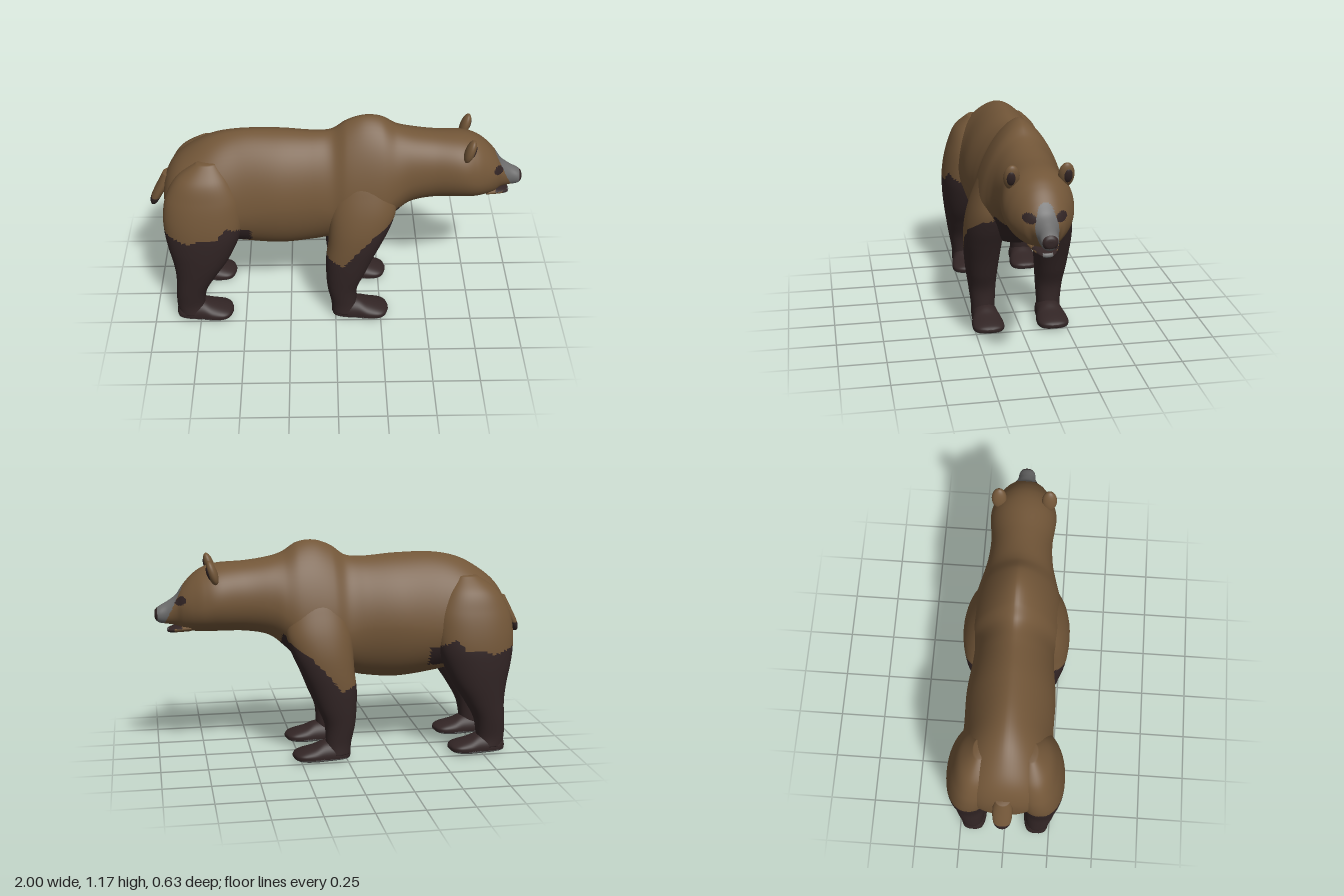
import * as THREE from 'three';

const mat = (name, color) => Object.assign(new THREE.MeshStandardMaterial({ color }), { name });

// Catmull-Rom interpolation of every column of a section table
function refine(rows, n) {
  const out = [];
  const at = (i) => rows[Math.min(Math.max(i, 0), rows.length - 1)];
  for (let i = 0; i < rows.length - 1; i++) {
    for (let k = 0; k < n; k++) {
      const t = k / n;
      out.push(rows[i].map((b, c) => {
        const a = at(i - 1)[c], d = at(i + 1)[c], e = at(i + 2)[c];
        return b + 0.5 * t * (d - a + t * (2 * a - 5 * b + 4 * d - e + t * (3 * (b - d) + e - a)));
      }));
    }
  }
  out.push(rows[rows.length - 1]);
  return out;
}

// Closed smooth loft; pick(x, y, z) gives the material index of each face
function loft(name, rows, n, sides, point, materials, pick) {
  const rings = refine(rows, n), pos = [], faces = [];
  for (const r of rings) {
    for (let j = 0; j < sides; j++) pos.push(...point(r, (j / sides) * Math.PI * 2));
  }
  const count = rings.length * sides;
  for (const start of [0, count - sides]) {
    const c = [0, 0, 0];
    for (let j = 0; j < sides * 3; j++) c[j % 3] += pos[start * 3 + j] / sides;
    pos.push(...c);
  }
  for (let j = 0; j < sides; j++) {
    const k = (j + 1) % sides, e = count - sides;
    for (let i = 0; i < rings.length - 1; i++) {
      const a = i * sides + j, b = i * sides + k;
      faces.push([a, b, a + sides], [b, b + sides, a + sides]);
    }
    faces.push([count, k, j], [count + 1, e + j, e + k]);
  }
  // turn all faces outward using the signed volume
  const v = (i) => new THREE.Vector3(pos[i * 3], pos[i * 3 + 1], pos[i * 3 + 2]);
  let volume = 0;
  const buckets = materials.map(() => []);
  for (const f of faces) {
    const [a, b, c] = f.map(v);
    volume += a.dot(b.clone().cross(c));
    const m = a.add(b).add(c).divideScalar(3);
    buckets[pick(m.x, m.y, Math.abs(m.z))].push(f);
  }
  const geo = new THREE.BufferGeometry();
  const index = [];
  buckets.forEach((list, m) => {
    geo.addGroup(index.length, list.length * 3, m);
    for (const [a, b, c] of list) index.push(...(volume < 0 ? [a, c, b] : [a, b, c]));
  });
  geo.setAttribute('position', new THREE.Float32BufferAttribute(pos, 3));
  geo.setIndex(index);
  geo.computeVertexNormals();
  const mesh = new THREE.Mesh(geo, materials);
  mesh.name = name;
  return mesh;
}

const spow = (v, p) => Math.sign(v) * Math.abs(v) ** p;

// Upright section [x, top, bottom, halfWidth, widestY, roundness]
const upright = (cz = 0, lower = 1) => ([x, top, bottom, w, yw, p], a) => {
  const s = Math.sin(a), q = s > 0 ? p : lower;
  const y = s > 0 ? yw + (top - yw) * spow(s, q) : yw + (yw - bottom) * spow(s, q);
  return [x, y, cz + w * spow(Math.cos(a), q)];
};

// Level section [y, back, front, inner, outer] on one side of the body
const level = (side) => ([y, xb, xf, zi, zo], a) => [
  (xb + xf) / 2 + ((xf - xb) / 2) * spow(Math.cos(a), 0.92), y,
  side * ((zi + zo) / 2 + ((zo - zi) / 2) * spow(Math.sin(a), 0.92))];

// Height of a colour border from a few [x, y] points
function border(points, x) {
  let i = 1;
  while (i < points.length - 1 && x > points[i][0]) i++;
  const [x0, y0] = points[i - 1], [x1, y1] = points[i];
  return y0 + (y1 - y0) * THREE.MathUtils.clamp((x - x0) / (x1 - x0), 0, 1);
}
const FRONT = [[-0.04, 0.43], [0.04, 0.4], [0.1, 0.48], [0.2, 0.59], [0.33, 0.68]];
const HIND = [[-0.91, 0.61], [-0.78, 0.575], [-0.72, 0.6], [-0.63, 0.6], [-0.58, 0.66], [-0.49, 0.61]];
const darkFront = (x, y, z) => y < (z < 0.16 ? Math.min(0.7, 0.61 + 0.6 * z) : border(FRONT, x));
const darkHind = (x, y) => y < border(HIND, x);

const BODY = [
  [-0.92, 0.72, 0.66, 0.03, 0.69, 1], [-0.905, 0.82, 0.58, 0.12, 0.7, 1],
  [-0.86, 0.91, 0.53, 0.19, 0.7, 1], [-0.78, 0.985, 0.5, 0.235, 0.7, 1.05],
  [-0.65, 1.06, 0.47, 0.25, 0.7, 1.12], [-0.5, 1.093, 0.435, 0.235, 0.7, 1.15],
  [-0.3, 1.093, 0.41, 0.235, 0.72, 1.15], [-0.12, 1.08, 0.425, 0.215, 0.72, 1.15],
  [-0.02, 1.09, 0.45, 0.215, 0.7, 1.2], [0.06, 1.145, 0.465, 0.235, 0.7, 1.25],
  [0.15, 1.175, 0.48, 0.24, 0.7, 1.25], [0.24, 1.165, 0.53, 0.23, 0.73, 1.2],
  [0.32, 1.115, 0.61, 0.2, 0.8, 1.1], [0.4, 1.09, 0.67, 0.175, 0.85, 1],
  [0.52, 1.073, 0.695, 0.165, 0.87, 1], [0.66, 1.065, 0.7, 0.178, 0.87, 1],
  [0.74, 1.045, 0.7, 0.165, 0.85, 1], [0.8, 1.005, 0.705, 0.138, 0.84, 1],
  [0.85, 0.95, 0.715, 0.105, 0.84, 1], [0.885, 0.9, 0.735, 0.072, 0.83, 1],
  [0.93, 0.868, 0.745, 0.05, 0.81, 1], [0.975, 0.842, 0.753, 0.043, 0.8, 1],
  [0.995, 0.825, 0.77, 0.03, 0.8, 1], [1.0, 0.81, 0.785, 0.012, 0.797, 1]];

const JAW = [
  [0.81, 0.76, 0.705, 0.08, 0.73, 1], [0.87, 0.742, 0.7, 0.062, 0.722, 1],
  [0.91, 0.731, 0.698, 0.045, 0.716, 1], [0.93, 0.725, 0.701, 0.03, 0.713, 1],
  [0.937, 0.716, 0.707, 0.01, 0.712, 1]];

const FRONT_LEG = [
  [0.04, -0.02, 0.12, 0.12, 0.25], [0.1, -0.025, 0.115, 0.118, 0.25],
  [0.2, -0.045, 0.12, 0.112, 0.262], [0.3, -0.052, 0.16, 0.105, 0.277],
  [0.4, -0.052, 0.2, 0.095, 0.288], [0.5, -0.04, 0.245, 0.085, 0.294],
  [0.6, -0.035, 0.29, 0.07, 0.29], [0.7, -0.03, 0.32, 0.06, 0.27],
  [0.8, -0.01, 0.31, 0.06, 0.235], [0.9, 0.03, 0.27, 0.07, 0.19], [0.97, 0.1, 0.2, 0.1, 0.13]];

const HIND_LEG = [
  [0.04, -0.87, -0.72, 0.12, 0.25], [0.1, -0.88, -0.725, 0.117, 0.25],
  [0.2, -0.875, -0.705, 0.112, 0.268], [0.3, -0.87, -0.65, 0.105, 0.285],
  [0.4, -0.88, -0.585, 0.09, 0.3], [0.5, -0.9, -0.535, 0.07, 0.31],
  [0.6, -0.912, -0.5, 0.06, 0.312], [0.7, -0.912, -0.49, 0.05, 0.3],
  [0.8, -0.89, -0.5, 0.05, 0.275], [0.9, -0.83, -0.55, 0.06, 0.235], [0.98, -0.72, -0.62, 0.1, 0.16]];

// Paw sections measured from the heel
const PAW = [
  [0, 0.05, 0.03, 0.02], [0.015, 0.09, 0.012, 0.05], [0.06, 0.11, 0.006, 0.068],
  [0.14, 0.11, 0.002, 0.075], [0.2, 0.085, 0.002, 0.085], [0.26, 0.068, 0.006, 0.083],
  [0.295, 0.055, 0.014, 0.06], [0.312, 0.042, 0.027, 0.015]];

// Tail sections [x, y, radiusX, radiusZ]
const TAIL = [
  [-0.88, 0.84, 0.04, 0.04], [-0.915, 0.78, 0.035, 0.05], [-0.95, 0.72, 0.03, 0.05],
  [-0.972, 0.675, 0.026, 0.042], [-0.982, 0.645, 0.016, 0.025], [-0.985, 0.635, 0.003, 0.005]];

export function createModel() {
  const group = new THREE.Group();
  group.name = 'bear';
  const brown = mat('brown fur', 0x725638);
  const dark = mat('dark fur', 0x322525);
  const grey = mat('grey skin', 0x6c6c6c);
  const all = [brown, dark, grey];

  // Torso, neck and head with eyes, muzzle and nose
  group.add(loft('body', BODY, 10, 72, upright(), all, (x, y, z) => {
    if (x > 0.82) {
      if (Math.hypot((y - 0.88) / 0.024, (z - 0.079) / 0.03) < 1) return 1;
      if (x > 0.986 && y > 0.77) return 1;
      return x > 0.88 + (0.89 - y) * 0.5 ? 2 : 0;
    }
    if (x > 0 && x < 0.34) return darkFront(x, y, z) ? 1 : 0;
    if (x < -0.6) return darkHind(x, y) ? 1 : 0;
    return x < -0.455 && y > 0.5 && y < 0.61 ? 1 : 0;
  }));

  // Lower jaw with dark lips and grey chin
  group.add(loft('lowerJaw', JAW, 8, 40, upright(), all, (x, y, z) => {
    if (x > 0.86 && y > 0.724) return 1;
    if (x > 0.9) return z > 0.025 ? 1 : 2;
    return 0;
  }));

  // Tail
  group.add(loft('tail', TAIL, 6, 24, ([x, y, rx, rz], a) => [x + rx * Math.cos(a), y, rz * Math.sin(a)],
    all, (x, y) => (y < 0.69 ? 1 : 0)));

  const ball = new THREE.SphereGeometry(1, 28, 20);
  for (const side of [1, -1]) {
    const label = side > 0 ? 'Left' : 'Right';

    // Legs and paws
    for (const [part, rows, heel, isDark] of [
      ['front', FRONT_LEG, -0.02, darkFront], ['hind', HIND_LEG, -0.882, darkHind]]) {
      group.add(loft(`${part}Leg${label}`, rows, 8, 48, level(side), all,
        (x, y, z) => (isDark(x, y, z) ? 1 : 0)));
      const paw = PAW.map(([x, t, b, w]) => [x + heel, t, b, w, 0.035, 1]);
      group.add(loft(`${part}Paw${label}`, paw, 6, 48, upright(side * 0.178, 0.55), all,
        (x, y, z) => (y < 0.021 && Math.hypot(x - heel - 0.19, z - 0.178) > 0.022 ? 2 : 1)));
    }

    // Ears
    const ear = new THREE.Group();
    ear.name = `ear${label}`;
    const shell = new THREE.Mesh(ball, brown);
    shell.name = 'earShell';
    shell.scale.set(0.026, 0.068, 0.04);
    const inner = new THREE.Mesh(ball, dark);
    inner.name = 'earInner';
    inner.scale.set(0.016, 0.042, 0.024);
    inner.position.set(0.014, 0.004, side * 0.004);
    ear.add(shell, inner);
    ear.position.set(0.697, 1.032, side * 0.134);
    ear.rotation.z = -0.3;
    group.add(ear);
  }
  return group;
}
